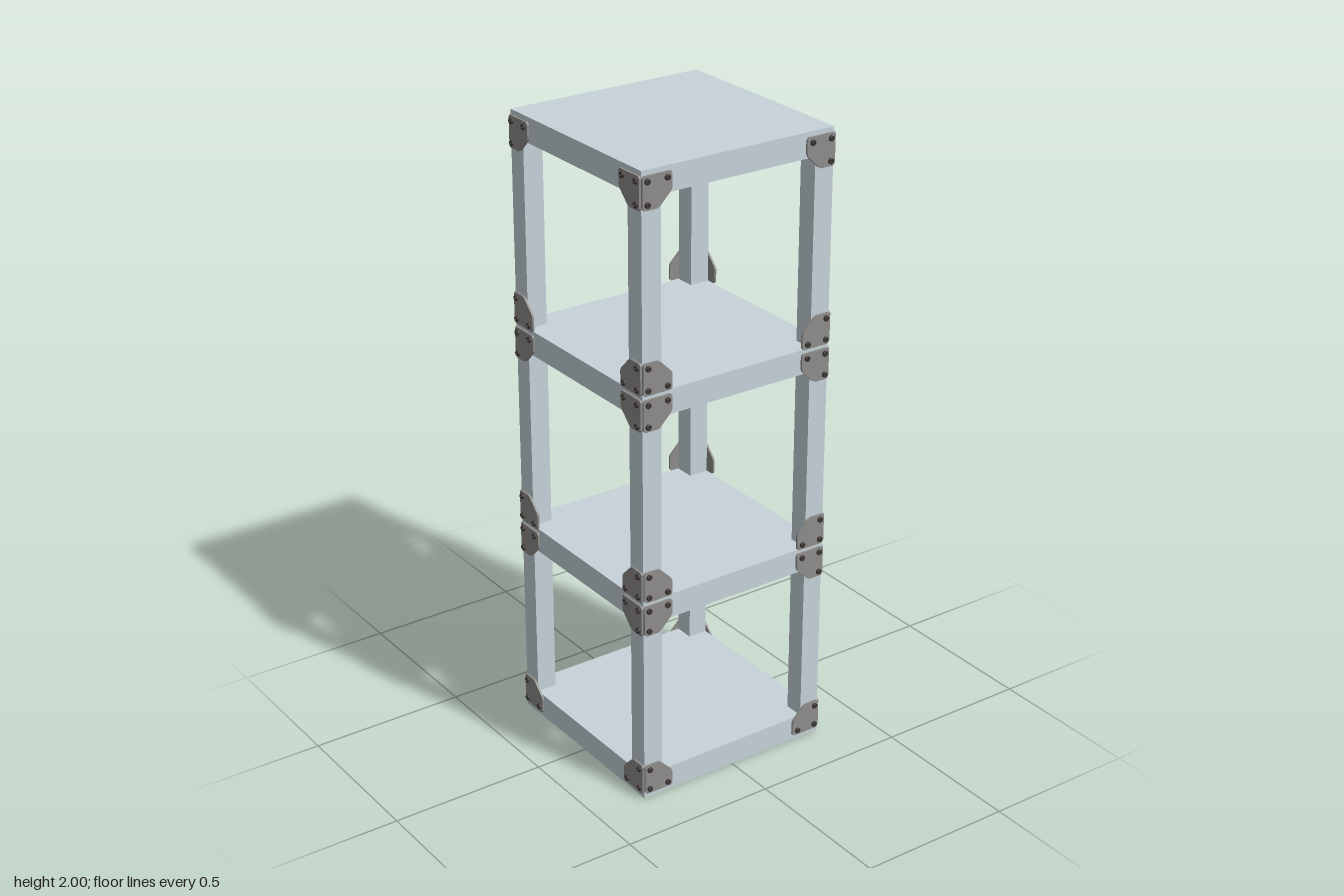
import * as THREE from 'three';
import { toCreasedNormals } from 'three/addons/utils/BufferGeometryUtils.js';

const HALF = 0.33;      // half width of the frame
const BAR = 0.065;      // square bar section
const PANEL = 0.013;    // shelf panel thickness
const PITCH = 0.66;     // height of one bay
const PLATE = 0.0065;   // bracket thickness

const frameMat = new THREE.MeshStandardMaterial({ color: 0xc6d3da });
const bracketMat = new THREE.MeshStandardMaterial({ color: 0x8f8d8b });
const boltMat = new THREE.MeshStandardMaterial({ color: 0x3c3735 });

function box(parent, name, w, h, d, x, y, z) {
  const mesh = new THREE.Mesh(new THREE.BoxGeometry(w, h, d), frameMat);
  mesh.name = name;
  mesh.position.set(x, y, z);
  parent.add(mesh);
}

// Hollow frame of four bars with a panel laid on top
function makeShelf(top) {
  const shelf = new THREE.Group();
  shelf.name = 'shelf';
  const c = HALF - BAR / 2;
  const y = top - PANEL - BAR / 2;
  for (const s of [-1, 1]) {
    box(shelf, 'crossBar', 2 * HALF, BAR, BAR, 0, y, s * c);
    box(shelf, 'sideBar', BAR, BAR, 2 * (HALF - BAR), s * c, y, 0);
  }
  box(shelf, 'panel', 2 * HALF, PANEL, 2 * HALF, 0, top - PANEL / 2, 0);
  return shelf;
}

// Corner plate with its outer corner at the origin, reaching along (sx, sy)
function bracketGeometry(sx, sy) {
  const points = [
    [0, 0.006], [0.006, 0], [0.093, 0], [0.099, 0.006], [0.099, 0.048],
    [0.094, 0.058], [0.058, 0.094], [0.048, 0.099], [0.006, 0.099], [0, 0.093],
  ];
  const shape = new THREE.Shape(points.map(([x, y]) => new THREE.Vector2(sx * x, sy * y)));
  return new THREE.ExtrudeGeometry(shape, { depth: PLATE, bevelEnabled: false });
}

// Round bolt head with a recessed socket, pointing along +z
function boltGeometry() {
  const r = 0.009, h = 0.0065;
  const profile = [[r, 0], [r, h * 0.8], [r * 0.85, h], [r * 0.45, h], [r * 0.45, h * 0.3], [0, h * 0.3]];
  const lathe = new THREE.LatheGeometry(profile.map(([x, y]) => new THREE.Vector2(x, y)), 14);
  return toCreasedNormals(lathe.rotateX(Math.PI / 2), 0.6);
}

export function createModel() {
  const model = new THREE.Group();
  model.name = 'shelfTower';

  // Shelves
  for (const top of [0.08, 0.677, 0.677 + PITCH, 2]) model.add(makeShelf(top));

  // Corner posts, from the bottom frame to the underside of the top panel
  const c = HALF - BAR / 2;
  const postHeight = 2 - PANEL;
  for (const x of [-c, c]) {
    for (const z of [-c, c]) box(model, 'post', BAR, postHeight, BAR, x, postHeight / 2, z);
  }

  // Bolted brackets at the bottom and top corners of every bay, on all four faces
  const bolt = boltGeometry();
  for (let face = 0; face < 4; face++) {
    const side = new THREE.Group();
    side.name = 'bracketFace';
    side.rotation.y = face * Math.PI / 2;
    for (const sx of [-1, 1]) {
      for (const sy of [-1, 1]) {
        const plateGeo = bracketGeometry(-sx, sy);
        for (let bay = 0; bay < 3; bay++) {
          const bracket = new THREE.Group();
          bracket.name = 'cornerBracket';
          bracket.position.set(sx * HALF, bay * PITCH + (sy > 0 ? 0.018 : 0.665), HALF);
          const plate = new THREE.Mesh(plateGeo, bracketMat);
          plate.name = 'bracketPlate';
          bracket.add(plate);
          for (const [bx, by] of [[0.015, 0.016], [0.081, 0.016], [0.015, 0.083]]) {
            const head = new THREE.Mesh(bolt, boltMat);
            head.name = 'bolt';
            head.position.set(-sx * bx, sy * by, PLATE);
            bracket.add(head);
          }
          side.add(bracket);
        }
      }
    }
    model.add(side);
  }
  return model;
}
